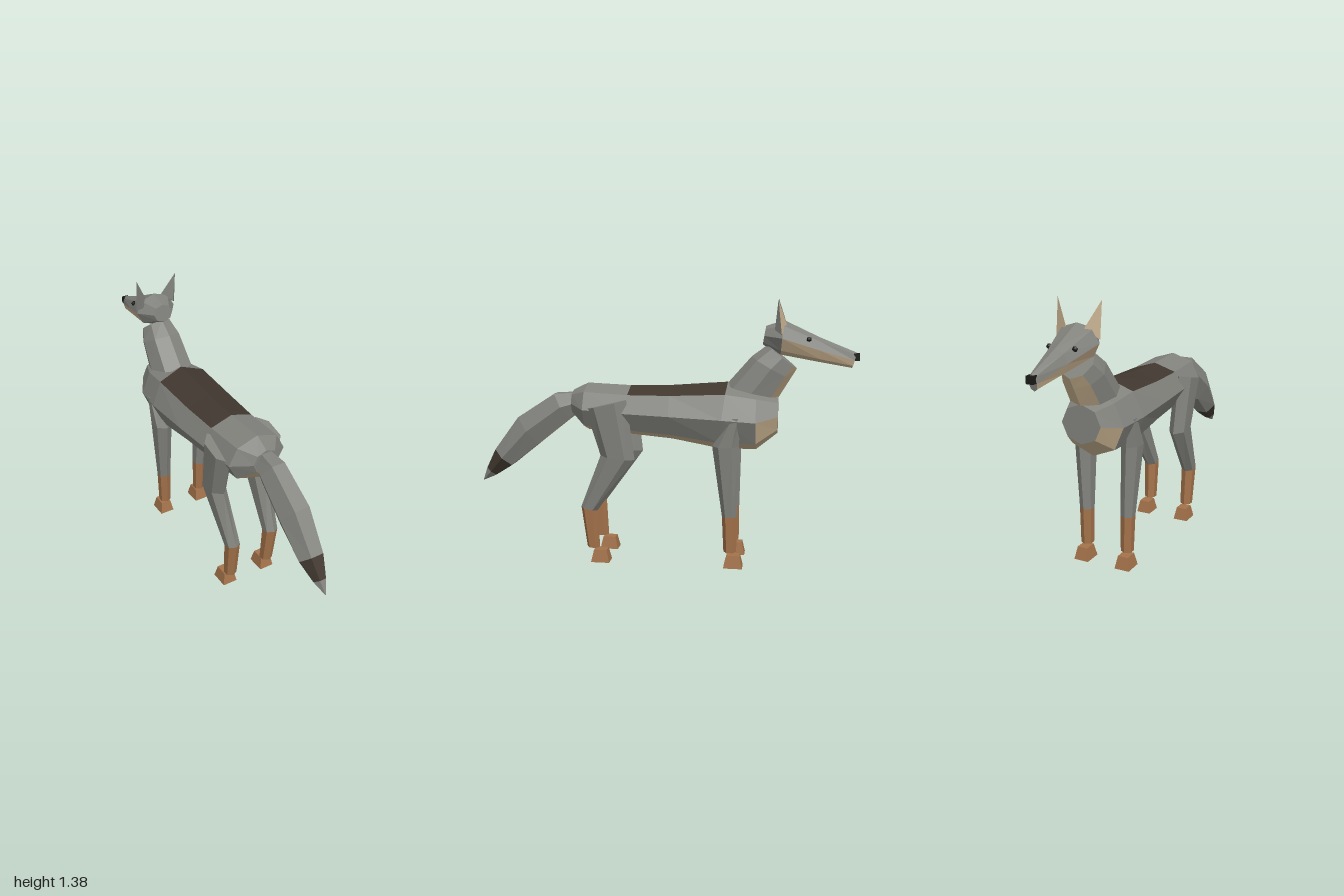
import * as THREE from 'three';

const mat = (name, color) => {
  const m = new THREE.MeshStandardMaterial({ color, flatShading: true });
  m.name = name;
  return m;
};

// Faceted skin over rings [topZ, topY, bottomZ, bottomY, halfWidth, centreX].
// paint(ring, sector) picks the material; sector 0 starts at the ring's top.
function loft(name, rings, sides, paint, cap, flatTop = false) {
  const phase = flatTop ? Math.PI / sides : 0;
  const grow = flatTop ? 1 / Math.cos(phase) : 1;
  const pts = rings.map(([tz, ty, bz, by, w, x = 0]) =>
    Array.from({ length: sides }, (_, k) => {
      const a = phase + (k / sides) * Math.PI * 2, c = Math.cos(a) * grow;
      return new THREE.Vector3(x + w * Math.sin(a),
        (ty + by) / 2 + (ty - by) / 2 * c, (tz + bz) / 2 + (tz - bz) / 2 * c);
    }));
  const tris = [];
  const add = (m, a, b, c) => tris.push({ m, p: [a, b, c] });
  for (let i = 0; i < rings.length - 1; i++) {
    for (let k = 0; k < sides; k++) {
      const n = (k + 1) % sides, m = paint(i, k);
      add(m, pts[i][k], pts[i + 1][k], pts[i + 1][n]);
      add(m, pts[i][k], pts[i + 1][n], pts[i][n]);
    }
  }
  const last = pts[pts.length - 1];
  for (let k = 1; k < sides - 1; k++) {
    add(cap, pts[0][0], pts[0][k], pts[0][k + 1]);
    add(cap, last[0], last[k + 1], last[k]);
  }
  return build(name, tris);
}

// Makes a mesh from coloured triangles, turned so that the closed skin faces outward
function build(name, tris) {
  const centre = new THREE.Vector3();
  tris.forEach(t => t.p.forEach(p => centre.addScaledVector(p, 1 / (tris.length * 3))));
  let volume = 0;
  for (const { p } of tris) {
    const [a, b, c] = p.map(v => v.clone().sub(centre));
    volume += a.dot(b.cross(c));
  }
  const materials = [...new Set(tris.map(t => t.m))];
  const pos = [];
  const geo = new THREE.BufferGeometry();
  materials.forEach((m, i) => {
    const start = pos.length / 3;
    for (const t of tris.filter(t => t.m === m)) {
      const p = volume < 0 ? [t.p[0], t.p[2], t.p[1]] : t.p;
      p.forEach(v => pos.push(v.x, v.y, v.z));
    }
    geo.addGroup(start, pos.length / 3 - start, i);
  });
  geo.setAttribute('position', new THREE.Float32BufferAttribute(pos, 3));
  geo.computeVertexNormals();
  const mesh = new THREE.Mesh(geo, materials.length > 1 ? materials : materials[0]);
  mesh.name = name;
  return mesh;
}

export function createModel() {
  const group = new THREE.Group();
  group.name = 'fox';
  const fur = mat('greyFur', 0x82827d);
  const saddle = mat('darkFur', 0x40372f);
  const cream = mat('creamFur', 0xc6af8e);
  const sock = mat('brownSock', 0xa3724a);
  const black = mat('black', 0x1b1a19);
  const under = k => k === 3 || k === 4;
  const lower = k => k >= 2 && k <= 5;

  // Torso from rump to chest, with a dark saddle and a pale belly
  group.add(loft('torso', [
    [0.48, 0.90, 0.48, 0.77, 0.07],
    [0.40, 0.94, 0.40, 0.69, 0.16],
    [0.17, 0.93, 0.17, 0.67, 0.168],
    [-0.05, 0.935, -0.05, 0.65, 0.18],
    [-0.34, 0.957, -0.30, 0.605, 0.187],
    [-0.49, 0.93, -0.49, 0.605, 0.165],
    [-0.60, 0.89, -0.60, 0.695, 0.105],
  ], 8, (i, k) => {
    if (i === 5) return lower(k) ? cream : fur;
    if (under(k)) return cream;
    return (k === 0 || k === 7) && (i === 2 || i === 3) ? saddle : fur;
  }, fur));

  // Neck with a pale throat
  group.add(loft('neck', [
    [-0.33, 0.94, -0.60, 0.88, 0.115],
    [-0.46, 1.09, -0.66, 0.98, 0.105],
    [-0.54, 1.15, -0.69, 1.03, 0.08],
  ], 8, (i, k) => (under(k) ? cream : fur), fur));

  // Head tapering into a long muzzle with pale cheeks
  group.add(loft('head', [
    [-0.53, 1.245, -0.515, 1.15, 0.055],
    [-0.62, 1.275, -0.605, 1.10, 0.113],
    [-0.80, 1.19, -0.80, 1.065, 0.062],
    [-0.985, 1.115, -0.965, 1.037, 0.022],
  ], 8, (i, k) => (i > 0 && lower(k) ? cream : fur), fur));

  const nose = new THREE.Mesh(new THREE.BoxGeometry(0.036, 0.036, 0.03), black);
  nose.name = 'nose';
  nose.position.set(0, 1.093, -0.985);
  group.add(nose);

  // Drooping tail with a dark band near the tip
  group.add(loft('tail', [
    [0.42, 0.89, 0.42, 0.80, 0.045],
    [0.58, 0.88, 0.50, 0.745, 0.072],
    [0.78, 0.75, 0.67, 0.61, 0.083],
    [0.915, 0.57, 0.825, 0.485, 0.068],
    [0.97, 0.465, 0.92, 0.425, 0.035],
    [1.0, 0.392, 0.998, 0.39, 0.002],
  ], 6, (i, k) => (i === 3 ? saddle : k === 2 && i < 2 ? cream : fur), fur, true));

  for (const s of [1, -1]) {
    const side = s > 0 ? 'left' : 'right';
    const at = (x, y, z) => new THREE.Vector3(s * x, y, z);

    // Ear: pale in front, grey behind
    const inner = at(0.045, 1.25, -0.635), outer = at(0.115, 1.205, -0.61);
    const tip = at(0.115, 1.38, -0.59), back = at(0.09, 1.23, -0.575);
    group.add(build(side + 'Ear', [
      { m: cream, p: [inner, tip, outer] },
      { m: fur, p: [inner, back, tip] },
      { m: fur, p: [outer, tip, back] },
      { m: fur, p: [inner, outer, back] },
    ]));

    const eye = new THREE.Mesh(new THREE.IcosahedronGeometry(0.014, 0), black);
    eye.name = side + 'Eye';
    eye.position.copy(at(0.066, 1.183, -0.745));
    group.add(eye);

    // Legs run from paw to hip; the lowest stretch is the sock
    const leg = (name, rows, pawZ) => {
      const rings = rows.map(([y0, z0, y1, z1, w, x]) => [z0, y0, z1, y1, w, s * x]);
      group.add(loft(name, rings, 6, i => (i === 0 ? sock : fur), fur));
      const paw = new THREE.CylinderGeometry(0.034 * Math.SQRT2, 0.049 * Math.SQRT2, 0.066, 4);
      paw.rotateY(Math.PI / 4).scale(0.82, 1, 1);
      const mesh = new THREE.Mesh(paw, sock);
      mesh.name = name + 'Paw';
      mesh.position.set(s * 0.118, 0.033, pawZ);
      group.add(mesh);
    };
    leg(side + 'FrontLeg', [
      [0.08, -0.335, 0.08, -0.402, 0.033, 0.116],
      [0.27, -0.325, 0.27, -0.402, 0.037, 0.118],
      [0.64, -0.272, 0.64, -0.408, 0.052, 0.132],
      [0.79, -0.36, 0.79, -0.415, 0.03, 0.15],
    ], -0.386);
    leg(side + 'HindLeg', [
      [0.075, 0.39, 0.075, 0.322, 0.034, 0.115],
      [0.295, 0.42, 0.275, 0.333, 0.039, 0.118],
      [0.575, 0.31, 0.555, 0.13, 0.05, 0.131],
      [0.82, 0.385, 0.87, 0.17, 0.055, 0.143],
    ], 0.315);
  }
  return group;
}
